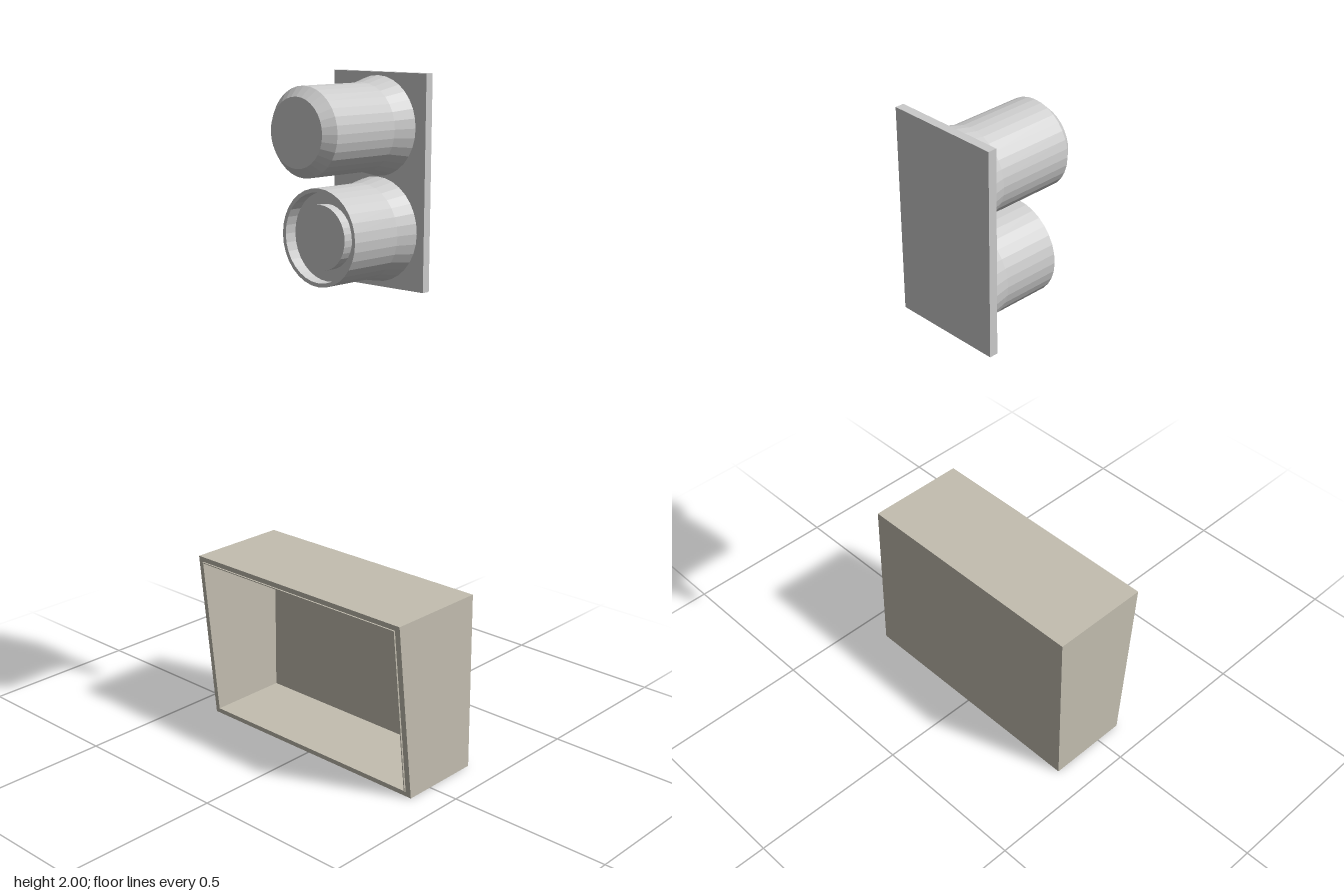
import * as THREE from 'three';

const grey = new THREE.MeshStandardMaterial({ color: 0xcccccc, flatShading: true });
const tan = new THREE.MeshStandardMaterial({ color: 0xc3beb0, flatShading: true });

function add(parent, name, geometry, material) {
  const mesh = new THREE.Mesh(geometry, material);
  mesh.name = name;
  parent.add(mesh);
  return mesh;
}

function rect(path, w, y0, y1) {
  path.moveTo(-w, y0);
  path.lineTo(w, y0);
  path.lineTo(w, y1);
  path.lineTo(-w, y1);
  path.closePath();
  return path;
}

// Rectangular tube along z whose front edge leans forward towards the top
function leaningTube(w, y0, y1, wall, back, proud) {
  const shape = rect(new THREE.Shape(), w, y0, y1);
  shape.holes.push(rect(new THREE.Path(), w - wall, y0 + wall, y1 - wall));
  const g = new THREE.ExtrudeGeometry(shape, { depth: 1, bevelEnabled: false });
  const p = g.attributes.position;
  for (let i = 0; i < p.count; i++) {
    const front = 0.086 + 0.11 * p.getY(i) + proud;
    p.setZ(i, THREE.MathUtils.lerp(back, front, p.getZ(i)));
  }
  g.computeVertexNormals();
  return g;
}

// Turned part facing +z, from [radius, z] pairs running back to front
function turned(profile) {
  const pts = profile.map(([r, z]) => new THREE.Vector2(r, z));
  return new THREE.LatheGeometry(pts, 32).rotateX(Math.PI / 2);
}

export function createModel() {
  const model = new THREE.Group();
  model.name = 'model';

  // Open-fronted bin with a slanted mouth
  const bin = new THREE.Group();
  bin.name = 'openBin';
  model.add(bin);
  add(bin, 'binWalls', leaningTube(0.405, 0, 0.545, 0.018, -0.162, 0), tan);
  add(bin, 'binLip', leaningTube(0.387, 0.016, 0.529, 0.003, -0.162, 0.005), tan);
  add(bin, 'binBack', new THREE.BoxGeometry(0.81, 0.545, 0.016), tan).position.set(0, 0.2725, -0.17);

  // Control panel with two knobs
  const panel = new THREE.Group();
  panel.name = 'controlPanel';
  model.add(panel);
  add(panel, 'panelPlate', new THREE.BoxGeometry(0.336, 0.596, 0.026), grey).position.set(0.057, 1.702, -0.16);

  // Upper knob: flared foot, straight barrel, chamfered flat end
  add(panel, 'upperKnob', turned([
    [0.138, -0.148], [0.121, -0.08], [0.121, 0.147], [0.094, 0.177], [0, 0.177],
  ]), grey).position.set(0.052, 1.853, 0);

  // Lower button housing: flared foot, thin rim and recessed floor
  add(panel, 'buttonHousing', turned([
    [0.148, -0.148], [0.135, -0.08], [0.135, 0.093], [0.124, 0.093], [0.124, 0.055], [0, 0.055],
  ]), grey).position.set(0.052, 1.566, 0);
  add(panel, 'button', turned([[0.09, 0.054], [0.09, 0.085], [0, 0.085]]), grey).position.set(0.052, 1.566, 0);

  return model;
}
